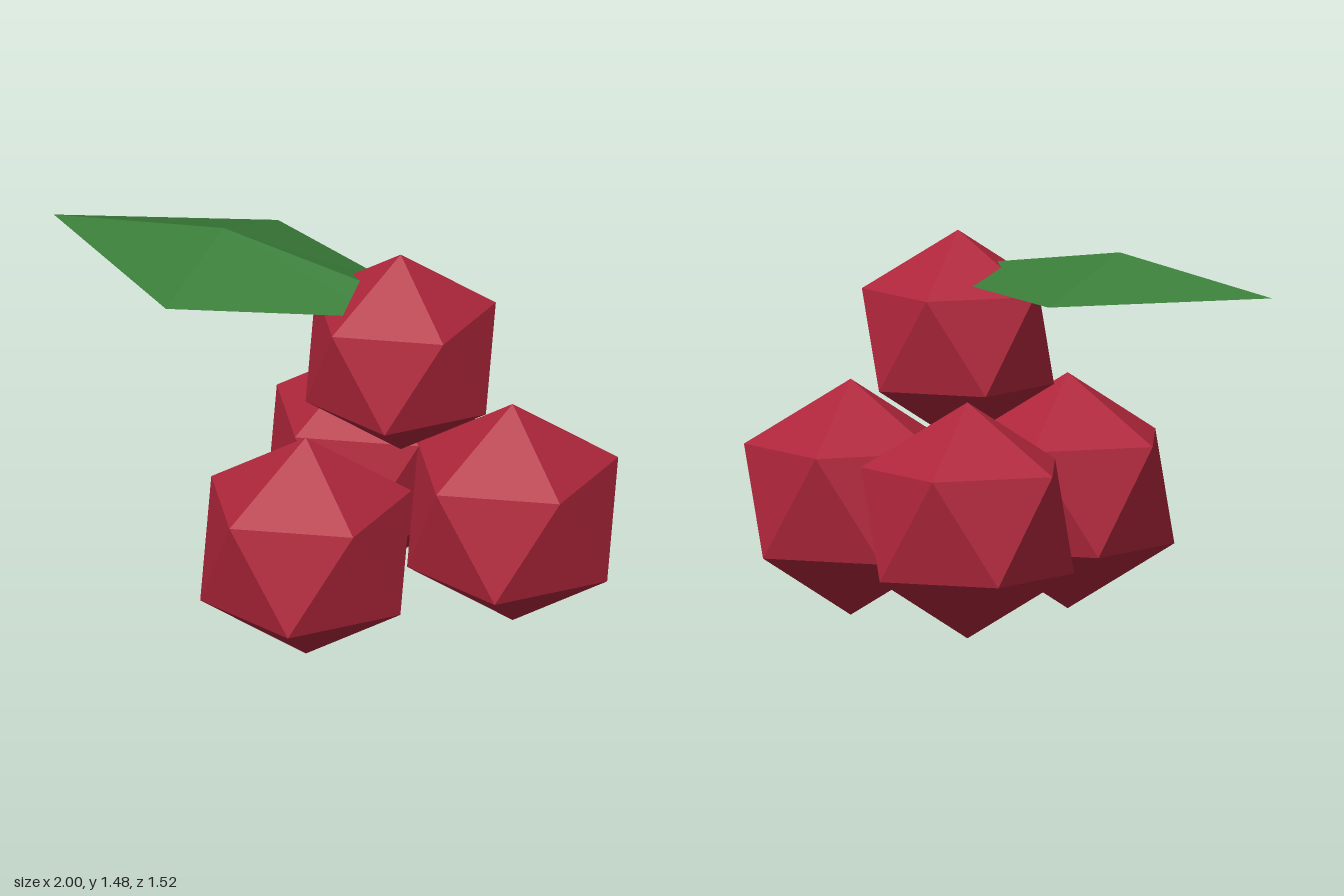
import * as THREE from 'three';

export function createModel() {
  const model = new THREE.Group();
  model.name = 'berryCluster';

  const berryRed = new THREE.MeshStandardMaterial({ name: 'berryRed', color: 0xb0263b, flatShading: true });
  const leafGreen = new THREE.MeshStandardMaterial({
    name: 'leafGreen', color: 0x3a7d3a, flatShading: true, side: THREE.DoubleSide,
  });

  // Berries: icosahedra tipped so one corner points straight up
  const tilt = -Math.atan(2 / (1 + Math.sqrt(5)));
  const berries = [
    ['frontBerry', 0.4475, -0.21, 0.4475, 0.38],
    ['leftBerry', 0.4475, 0.6, 0.4475, 0.2],
    ['backBerry', 0.4475, 0.15, 0.4475, -0.383],
    ['topBerry', 0.403, 0.195, 1.078, 0.07],
  ];
  for (const [name, radius, x, y, z] of berries) {
    const berry = new THREE.Mesh(new THREE.IcosahedronGeometry(radius, 0).rotateZ(tilt), berryRed);
    berry.name = name;
    berry.position.set(x, y, z);
    model.add(berry);
  }

  // Leaf: a thin sheet folded along its spine, fanned around the raised middle,
  // with its stalk end tucked inside the top berry
  const points = [
    -0.42, 1.455, -0.313, // raised middle
    -1.0, 1.348, -0.748, // tip
    -0.69, 1.3, 0.035, // front corner
    0.1, 1.3, 0.226, // stalk end, front
    0.2, 1.338, 0.152, // stalk end, spine
    0.18, 1.3, -0.08, // stalk end, back
    -0.16, 1.3, -0.68, // back corner
  ];
  const faces = [];
  for (let i = 1; i <= 6; i++) {
    if (i !== 0) faces.push(0, i, (i % 6) + 1);
  }
  const sheet = new THREE.BufferGeometry();
  sheet.setAttribute('position', new THREE.Float32BufferAttribute(points, 3));
  sheet.setIndex(faces);
  const leafGeometry = sheet.toNonIndexed();
  leafGeometry.computeVertexNormals();
  const leaf = new THREE.Mesh(leafGeometry, leafGreen);
  leaf.name = 'leaf';
  model.add(leaf);

  return model;
}
